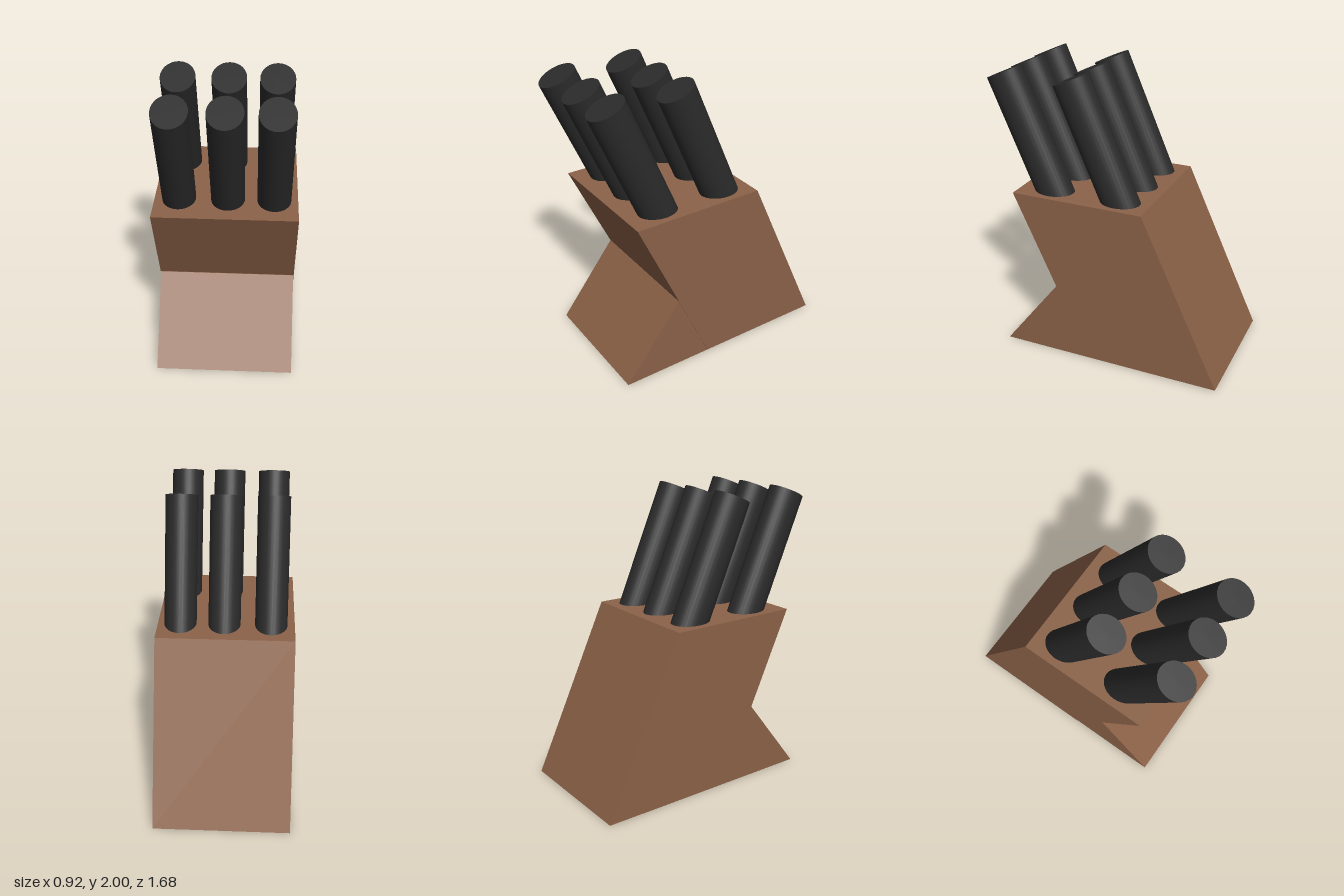
import * as THREE from 'three';

// Extrudes a [z, y] side profile across x, centred on x = 0
function sideProfile(points, width, material, name) {
  const shape = new THREE.Shape(points.map(([z, y]) => new THREE.Vector2(z, y)));
  const geo = new THREE.ExtrudeGeometry(shape, { depth: width, bevelEnabled: false });
  geo.translate(0, 0, -width / 2);
  geo.rotateY(-Math.PI / 2);
  const mesh = new THREE.Mesh(geo, material);
  mesh.name = name;
  return mesh;
}

export function createModel() {
  const wood = new THREE.MeshStandardMaterial({ color: 0x8c6248 });
  wood.name = 'brown wood';
  const black = new THREE.MeshStandardMaterial({ color: 0x2b2b2b });
  black.name = 'black handle';

  const model = new THREE.Group();
  model.name = 'knifeBlock';

  // Leaning block and the wedge foot that props it up
  model.add(sideProfile(
    [[-0.84, 0.004], [0.082, 0.004], [0.623, 1.17], [-0.30, 1.17]], 0.92, wood, 'block'));
  model.add(sideProfile(
    [[-0.58, 0], [0.73, 0], [0.325, 0.52], [0.3, 0.52]], 0.912, wood, 'foot'));

  // Two rows of three slightly oval handles, sunk into the block
  const tilt = 0.408;
  const length = 1.0;
  const handleGeo = new THREE.CylinderGeometry(1, 1, length, 32);
  handleGeo.scale(0.1085, 1, 0.127);
  handleGeo.translate(0, -length / 2, 0);
  handleGeo.rotateX(tilt);
  for (const [row, z] of [['front', 0.723], ['rear', 0.245]]) {
    for (const [side, x] of [['Right', -0.302], ['Middle', 0.012], ['Left', 0.308]]) {
      const handle = new THREE.Mesh(handleGeo, black);
      handle.name = `${row}${side}Handle`;
      handle.position.set(x, 1.95, z);
      model.add(handle);
    }
  }
  return model;
}
